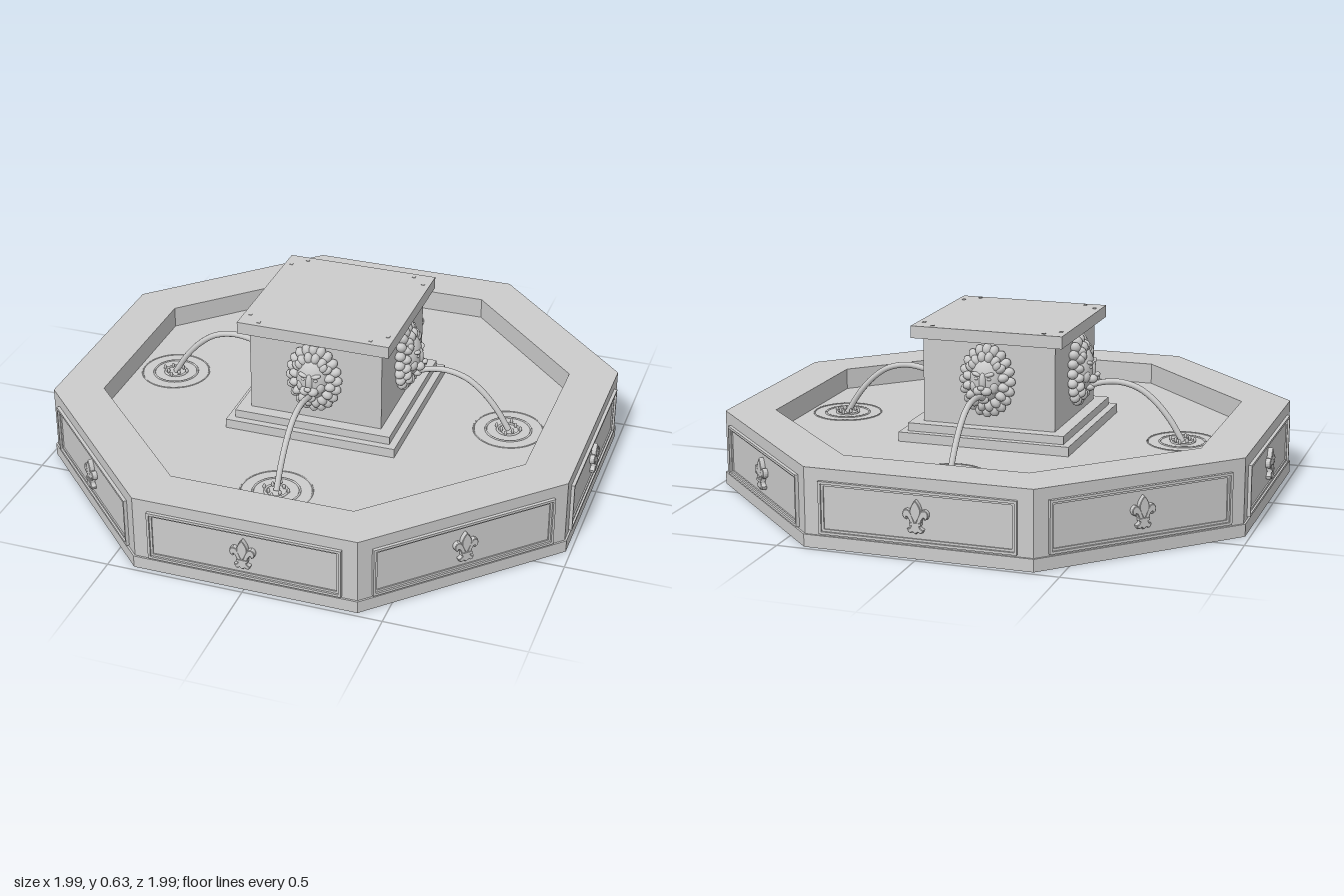
import * as THREE from 'three';

const stone = new THREE.MeshStandardMaterial({ color: 0xcccccc });
const WATER = 0.2;

function add(parent, name, geometry, x = 0, y = 0, z = 0) {
  const mesh = new THREE.Mesh(geometry, stone);
  mesh.name = name;
  mesh.position.set(x, y, z);
  parent.add(mesh);
  return mesh;
}

// Regular octagon with flat sides on the axes, given centre-to-side distance
function octagon(apothem, PathType = THREE.Shape) {
  const r = apothem / Math.cos(Math.PI / 8);
  const pts = [];
  for (let i = 0; i < 8; i++) {
    const a = Math.PI / 8 + (i * Math.PI) / 4;
    pts.push(new THREE.Vector2(r * Math.cos(a), r * Math.sin(a)));
  }
  return new PathType(pts);
}

// Upright octagonal slab, or ring when an inner distance is given
function octagonSlab(outer, inner, y0, y1) {
  const shape = octagon(outer);
  if (inner) shape.holes.push(octagon(inner, THREE.Path));
  const g = new THREE.ExtrudeGeometry(shape, { depth: y1 - y0, bevelEnabled: false });
  g.rotateX(-Math.PI / 2);
  g.translate(0, y0, 0);
  return g;
}

// Flat rectangular frame
function frameGeometry(w, h, border, depth) {
  const rect = (P, a, b) => new P([
    new THREE.Vector2(-a, -b), new THREE.Vector2(a, -b),
    new THREE.Vector2(a, b), new THREE.Vector2(-a, b)]);
  const shape = rect(THREE.Shape, w / 2, h / 2);
  shape.holes.push(rect(THREE.Path, w / 2 - border, h / 2 - border));
  return new THREE.ExtrudeGeometry(shape, { depth, bevelEnabled: false });
}

function ball(parent, name, x, y, z, rx, ry, rz, tilt = 0, seg = 12) {
  const m = add(parent, name, new THREE.SphereGeometry(1, seg, Math.round(seg * 0.7)), x, y, z);
  m.scale.set(rx, ry, rz);
  m.rotation.z = tilt;
  return m;
}

// Lily ornament: pointed middle petal, two curled side petals, band and foot
function lily() {
  const g = new THREE.Group();
  g.name = 'lilyOrnament';
  const bevel = { depth: 0.008, bevelEnabled: true, bevelThickness: 0.006, bevelSize: 0.003, bevelSegments: 2, curveSegments: 6 };
  const petal = new THREE.Shape();
  petal.moveTo(0, -0.018);
  petal.bezierCurveTo(0.008, 0, 0.02, 0.015, 0.016, 0.03);
  petal.quadraticCurveTo(0.012, 0.045, 0, 0.058);
  petal.quadraticCurveTo(-0.012, 0.045, -0.016, 0.03);
  petal.bezierCurveTo(-0.02, 0.015, -0.008, 0, 0, -0.018);
  add(g, 'middlePetal', new THREE.ExtrudeGeometry(petal, bevel));
  for (const s of [1, -1]) {
    const side = new THREE.Shape();
    side.moveTo(s * 0.004, -0.018);
    side.bezierCurveTo(s * 0.012, 0.005, s * 0.018, 0.028, s * 0.032, 0.027);
    side.bezierCurveTo(s * 0.047, 0.024, s * 0.046, 0.002, s * 0.034, -0.003);
    side.bezierCurveTo(s * 0.036, 0.012, s * 0.022, 0.008, s * 0.016, -0.018);
    add(g, 'sidePetal', new THREE.ExtrudeGeometry(side, bevel));
    const foot = new THREE.Shape();
    foot.moveTo(0, -0.022);
    foot.lineTo(s * 0.012, -0.024);
    foot.quadraticCurveTo(s * 0.014, -0.038, s * 0.026, -0.04);
    foot.quadraticCurveTo(s * 0.022, -0.056, s * 0.01, -0.045);
    foot.lineTo(0, -0.052);
    add(g, 'foot', new THREE.ExtrudeGeometry(foot, bevel));
  }
  add(g, 'band', new THREE.BoxGeometry(0.04, 0.009, 0.018), 0, -0.02, 0.008);
  return g;
}

// Lion mask spout, modelled facing +z with its back at z = 0
function lionMask() {
  const g = new THREE.Group();
  g.name = 'lionMask';
  const rings = [ // count, x radius, y radius, z, lobe length, lobe width
    [20, 0.083, 0.113, 0.015, 0.024, 0.018],
    [16, 0.066, 0.09, 0.033, 0.022, 0.016],
  ];
  rings.forEach(([n, rx, ry, z, len, wid], k) => {
    for (let i = 0; i < n; i++) {
      const a = ((i + k * 0.5) / n) * Math.PI * 2;
      ball(g, 'maneLock', rx * Math.cos(a), ry * Math.sin(a), z, len, wid, 0.02, a);
    }
  });
  ball(g, 'maneBacking', 0, 0, 0.01, 0.085, 0.115, 0.025, 0, 20);
  ball(g, 'face', 0, 0.005, 0.03, 0.06, 0.08, 0.042, 0, 20);
  ball(g, 'noseBridge', 0, 0.005, 0.065, 0.014, 0.036, 0.015);
  ball(g, 'nose', 0, -0.012, 0.086, 0.013, 0.009, 0.01);
  ball(g, 'chin', 0, -0.062, 0.058, 0.02, 0.014, 0.018);
  for (const s of [1, -1]) {
    ball(g, 'muzzle', s * 0.015, -0.027, 0.07, 0.02, 0.016, 0.02);
    ball(g, 'cheek', s * 0.035, -0.015, 0.05, 0.018, 0.024, 0.018);
    ball(g, 'brow', s * 0.024, 0.033, 0.063, 0.019, 0.008, 0.012, s * 0.25);
    ball(g, 'eye', s * 0.023, 0.017, 0.064, 0.009, 0.006, 0.008);
    ball(g, 'ear', s * 0.046, 0.062, 0.045, 0.014, 0.018, 0.012, s * -0.5);
  }
  return g;
}

// Arc of water with ripples and droplets, falling toward +z
function waterJet() {
  const g = new THREE.Group();
  g.name = 'waterJet';
  const path = new THREE.CatmullRomCurve3([
    [0.31, 0.385], [0.36, 0.4], [0.42, 0.405], [0.49, 0.388], [0.55, 0.347], [0.61, 0.28], [0.66, WATER],
  ].map(([z, y]) => new THREE.Vector3(0, y, z)));
  add(g, 'stream', new THREE.TubeGeometry(path, 30, 0.011, 10));
  for (const [r, t] of [[0.128, 0.003], [0.083, 0.004], [0.04, 0.005]]) {
    const ring = add(g, 'ripple', new THREE.TorusGeometry(r, t, 6, 40), 0, WATER, 0.66);
    ring.rotation.x = Math.PI / 2;
  }
  for (let i = 0; i < 8; i++) {
    const a = (i * Math.PI) / 4;
    const r = i % 2 ? 0.03 : 0.045;
    ball(g, 'droplet', r * Math.cos(a), WATER + 0.01, 0.66 + r * Math.sin(a), 0.006, 0.01, 0.006, 0, 8);
  }
  return g;
}

export function createModel() {
  const model = new THREE.Group();
  model.name = 'fountain';

  // Basin, hollow beneath with a shallow lip and inner rib
  add(model, 'basinWall', octagonSlab(0.976, 0.805, 0.04, 0.28));
  add(model, 'basinFloor', octagonSlab(0.805, 0, 0.04, WATER));
  add(model, 'baseTrim', octagonSlab(0.983, 0.972, 0, 0.045));
  add(model, 'undersideRib', octagonSlab(0.808, 0.8, 0, 0.045));

  // Panel and ornament on each of the eight sides
  for (let i = 0; i < 8; i++) {
    const side = new THREE.Group();
    side.name = 'sidePanel';
    side.rotation.y = (i * Math.PI) / 4;
    add(side, 'outerFrame', frameGeometry(0.7, 0.185, 0.009, 0.014), 0, 0.145, 0.974);
    add(side, 'innerFrame', frameGeometry(0.682, 0.167, 0.008, 0.007), 0, 0.145, 0.974);
    const ornament = lily();
    ornament.position.set(0, 0.145, 0.985);
    ornament.position.z = 0.98;
    side.add(ornament);
    model.add(side);
  }

  // Square pedestal: stepped base, shaft and cap slab
  for (const [name, half, y0, y1] of [
    ['pedestalBase', 0.323, 0, 0.235],
    ['pedestalStep', 0.296, 0.235, 0.265],
    ['pedestalShaft', 0.25, 0.265, 0.58],
    ['pedestalCap', 0.285, 0.58, 0.625],
  ]) add(model, name, new THREE.BoxGeometry(half * 2, y1 - y0, half * 2), 0, (y0 + y1) / 2, 0);

  // Small pegs near the cap corners
  for (const sx of [1, -1]) for (const sz of [1, -1])
    for (const [x, z] of [[0.26, 0.213], [0.21, 0.26]])
      add(model, 'capPeg', new THREE.BoxGeometry(0.012, 0.004, 0.012), sx * x, 0.625, sz * z);

  // Lion spout and water jet on each pedestal face
  for (let i = 0; i < 4; i++) {
    const spout = new THREE.Group();
    spout.name = 'spout';
    spout.rotation.y = (i * Math.PI) / 2;
    const mask = lionMask();
    mask.position.set(0, 0.44, 0.25);
    spout.add(mask, waterJet());
    model.add(spout);
  }
  return model;
}
